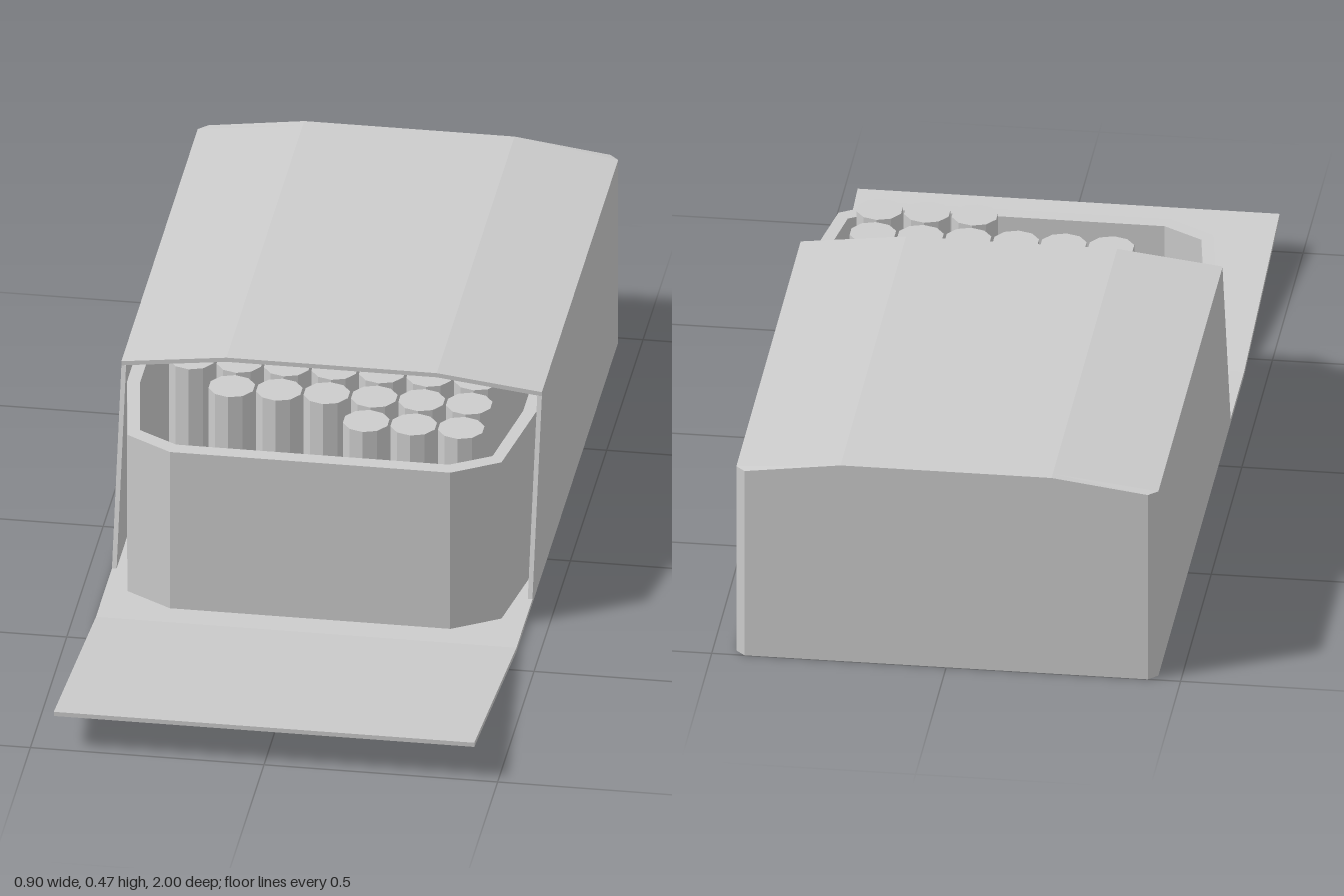
import * as THREE from 'three';

const shapeOf = (pts) => new THREE.Shape(pts.map((p) => new THREE.Vector2(p[0], p[1])));
const extrude = (shape, depth) => new THREE.ExtrudeGeometry(shape, { depth, bevelEnabled: false });
// shape drawn in (x, z), rising from y = bottom
const plan = (shape, bottom, height) =>
  extrude(shape, height).rotateX(Math.PI / 2).translate(0, bottom + height, 0);
// shape drawn in (z, y), spanning x = right - width to right
const side = (shape, right, width) =>
  extrude(shape, width).rotateY(-Math.PI / 2).translate(right, 0, 0);

export function createModel() {
  const model = new THREE.Group();
  const card = new THREE.MeshStandardMaterial({ color: 0xcccccc });
  card.name = 'light grey card';
  const add = (name, geometry, parent = model) => {
    const mesh = new THREE.Mesh(geometry, card);
    mesh.name = name;
    parent.add(mesh);
    return mesh;
  };

  // Outer sleeve: gently peaked roof
  const W = 0.45, T = 0.01, EAVE = 0.438, RIDGE = 0.465, BACK = -0.98, FRONT = 0.07;
  const ridge = [[W, EAVE], [0.225, RIDGE], [-0.225, RIDGE], [-W, EAVE]];
  const under = ridge.map(([x, y]) => [x, y - T]).reverse();
  add('sleeveRoof', extrude(shapeOf([...ridge, ...under]), FRONT - BACK).translate(0, 0, BACK));

  // Side walls with a slanted front edge
  const wall = shapeOf([[BACK, 0], [0.2, 0], [0.2, T], [FRONT, EAVE - T], [BACK, EAVE - T]]);
  add('sleeveLeftWall', side(wall, W, T));
  add('sleeveRightWall', side(wall, -W + T, T));

  // Back wall, its vertical corners chamfered by pulling in the rear face
  const back = extrude(shapeOf([[-W, 0], [W, 0], ...ridge]), 0.02).translate(0, 0, -1);
  const pos = back.attributes.position;
  for (let i = 0; i < pos.count; i++) {
    if (pos.getZ(i) < -0.99) pos.setX(i, THREE.MathUtils.clamp(pos.getX(i), -0.43, 0.43));
  }
  back.computeVertexNormals();
  add('sleeveBack', back);

  // Floor running out into the raised front flap
  const floor = shapeOf([[BACK, 0], [0.42, 0], [1, 0.08], [1, 0.09], [0.42, T], [BACK, T]]);
  add('floorAndFlap', side(floor, W, 2 * W));

  // Inner tray with a faceted front
  const outline = (half) => [...half, ...half.map(([x, z]) => [-x, z]).reverse()];
  const outer = outline([[0.438, -0.97], [0.438, 0.07], [0.4, 0.305], [0.3, 0.367]]);
  const inner = outline([[0.41, -0.94], [0.41, 0.07], [0.377, 0.28], [0.292, 0.332]]);
  const tray = shapeOf(outer);
  tray.holes.push(new THREE.Path(inner.map((p) => new THREE.Vector2(p[0], p[1]))));
  add('trayWall', plan(tray, 0.015, 0.375));
  add('trayFloor', plan(shapeOf(inner), 0.015, 0.01));

  // Rows of upright ten-sided rods, with the first two rows partly used
  const rods = new THREE.Group();
  rods.name = 'rods';
  model.add(rods);
  const rodGeo = new THREE.CylinderGeometry(0.05, 0.05, 0.41, 10).toNonIndexed();
  rodGeo.computeVertexNormals();
  for (let row = 0; row < 11; row++) {
    const first = row === 0 ? 4 : row === 1 ? 1 : 0;
    for (let i = first; i < 7; i++) {
      add('rod', rodGeo, rods).position.set((i - 3) * 0.1016, 0.229, 0.247 - row * 0.11);
    }
  }
  return model;
}
